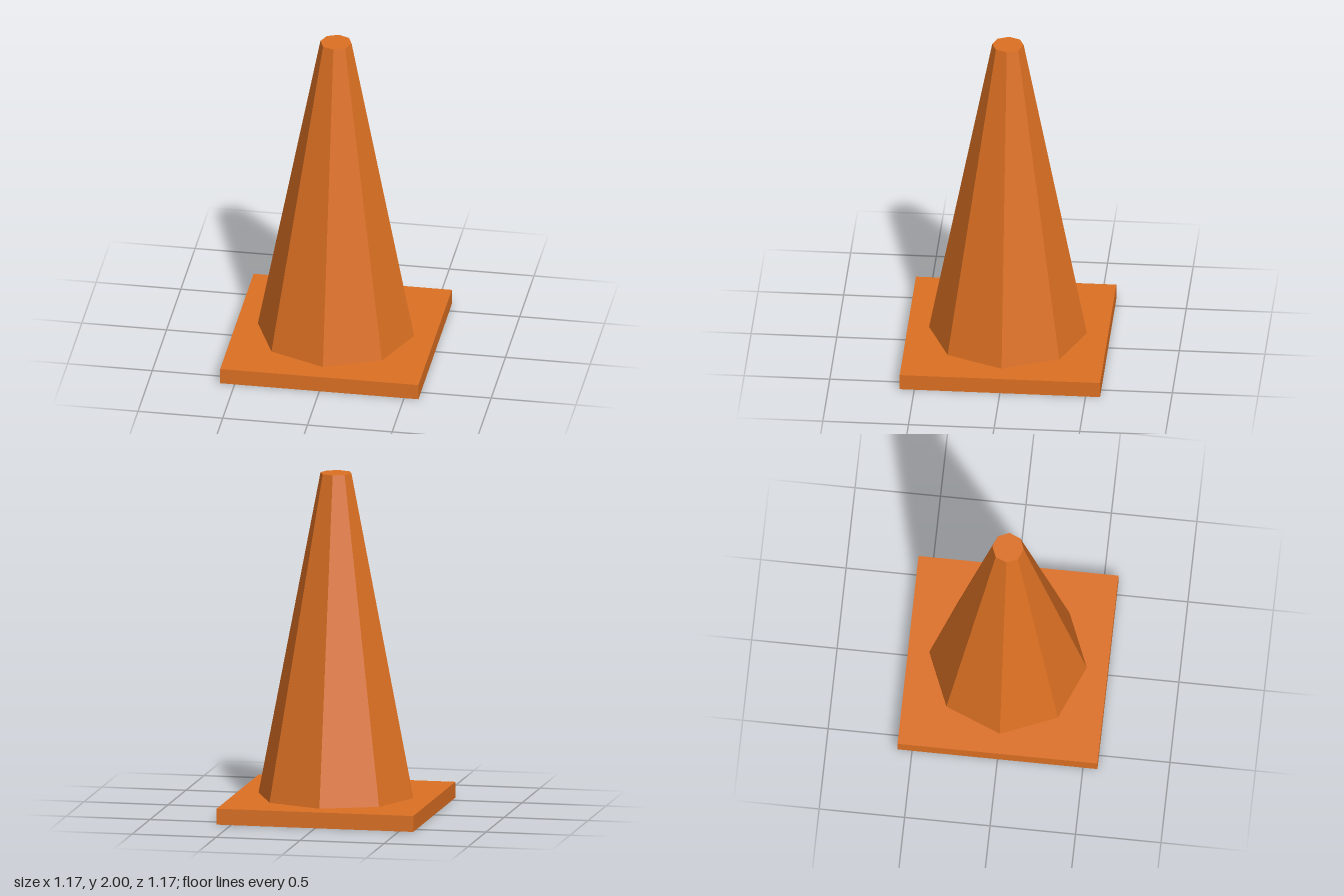
import * as THREE from 'three';

export function createModel() {
  const group = new THREE.Group();
  group.name = 'trafficCone';

  const orange = new THREE.MeshStandardMaterial({ color: 0xdc7023, flatShading: true });
  orange.name = 'orange';

  const height = 2;
  const baseWidth = 1.17;
  const baseHeight = 0.094;

  // Square foot plate
  const base = new THREE.Mesh(new THREE.BoxGeometry(baseWidth, baseHeight, baseWidth), orange);
  base.name = 'base';
  base.position.y = baseHeight / 2;
  group.add(base);

  // Eight-sided tapering body with a flat top, corners on the x and z axes
  const bodyHeight = height - baseHeight;
  const body = new THREE.Mesh(new THREE.CylinderGeometry(0.092, 0.461, bodyHeight, 8), orange);
  body.name = 'coneBody';
  body.position.y = baseHeight + bodyHeight / 2;
  group.add(body);

  return group;
}
